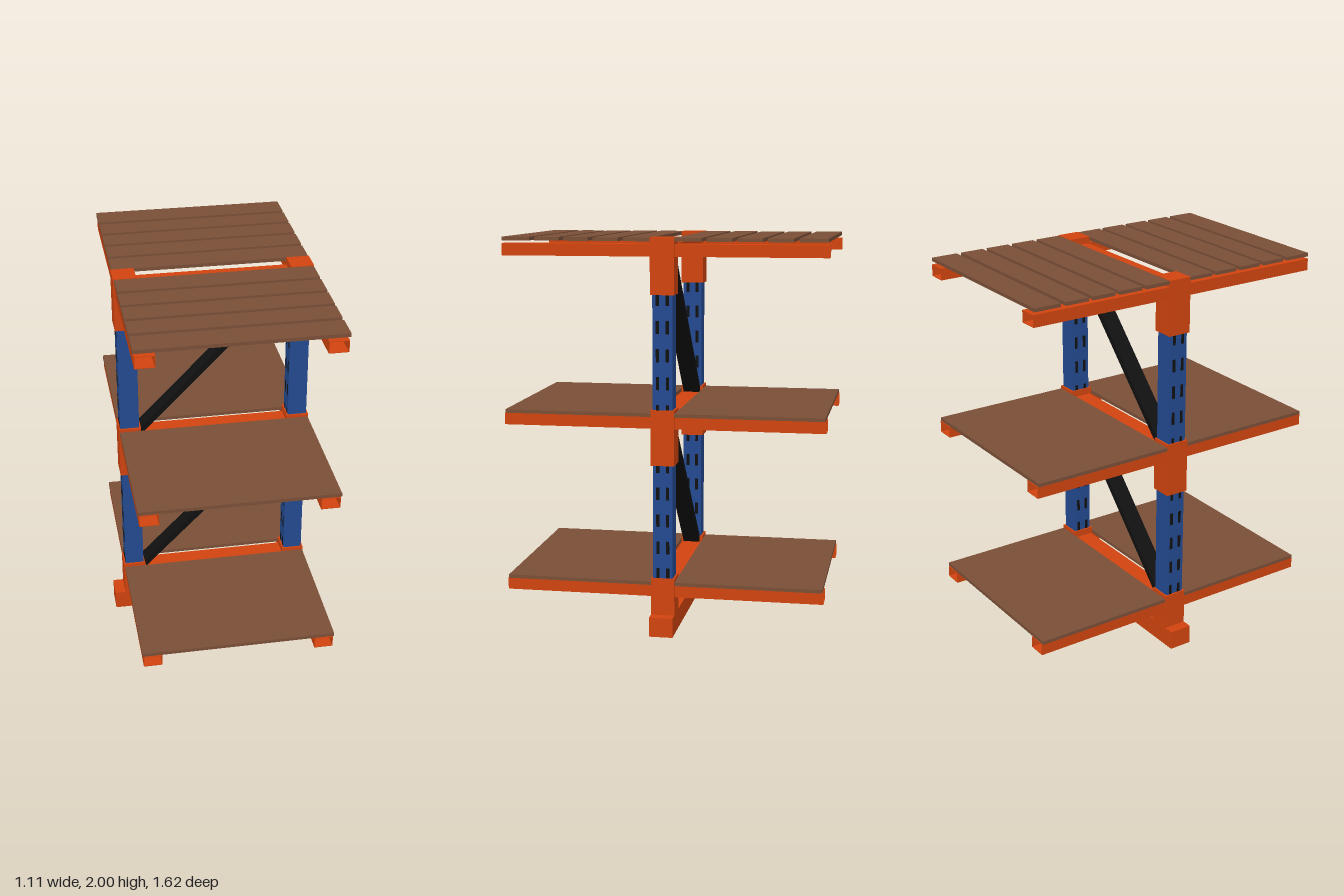
import * as THREE from 'three';

export function createModel() {
  const model = new THREE.Group();
  model.name = 'storageRack';

  const paint = (name, color) => {
    const m = new THREE.MeshStandardMaterial({ color });
    m.name = name;
    return m;
  };
  const orange = paint('orange steel', 0xd0440e);
  const blue = paint('blue steel', 0x234a90);
  const brown = paint('brown board', 0x7a4f37);
  const black = paint('black', 0x101010);

  const add = (name, geometry, material, x, y, z) => {
    const mesh = new THREE.Mesh(geometry, material);
    mesh.name = name;
    mesh.position.set(x, y, z);
    model.add(mesh);
    return mesh;
  };

  // Box given by its minimum and maximum on each axis
  const box = (name, material, x0, x1, y0, y1, z0, z1) =>
    add(name, new THREE.BoxGeometry(x1 - x0, y1 - y0, z1 - z0), material,
      (x0 + x1) / 2, (y0 + y1) / 2, (z0 + z1) / 2);

  // Rectangle with a rectangular opening, extruded along z
  const frame = (w, y0, y1, holeW, h0, h1, depth) => {
    const rect = (path, hw, a, b) =>
      path.moveTo(-hw, a).lineTo(hw, a).lineTo(hw, b).lineTo(-hw, b).closePath();
    const shape = rect(new THREE.Shape(), w / 2, y0, y1);
    shape.holes.push(rect(new THREE.Path(), holeW / 2, h0, h1));
    return new THREE.ExtrudeGeometry(shape, { depth, bevelEnabled: false });
  };

  const postX = 0.443, armW = 0.096, wall = 0.003, armEnd = 0.811;
  const levels = [
    { arm: 0.194, sleeve: [0.1, 0.29] },
    { arm: 1.056, sleeve: [0.87, 1.15] },
    { arm: 1.906, sleeve: [1.72, 2.0] },
  ];
  const armH = 0.06;

  // Foot beam
  box('footBeam', orange, -0.555, 0.555, 0, 0.1, -0.06, 0.06);

  for (const s of [-1, 1]) {
    const x = s * postX;
    // Posts, ending inside the top sleeves
    box('post', blue, x - 0.049, x + 0.049, 0.1, 1.78, -0.05, 0.05);

    // Slots in the side faces of each post
    for (let k = 0; k < 11; k++) {
      const y = 0.31 + k * 0.139;
      for (const face of [-1, 1]) for (const z of [-0.025, 0.025]) {
        add('postSlot', new THREE.BoxGeometry(0.003, 0.065, 0.016), black, x + face * 0.049, y, z);
      }
    }

    // Sleeves with openings for the hollow arms
    for (const { arm, sleeve } of levels) {
      add('sleeve', frame(0.116, sleeve[0], sleeve[1], armW - 2 * wall,
        arm + wall, arm + armH - wall, 0.12), orange, x, 0, -0.06);
      const tube = frame(armW, arm, arm + armH, armW - 2 * wall,
        arm + wall, arm + armH - wall, armEnd - 0.06);
      add('frontArm', tube, orange, x, 0, 0.06);
      add('backArm', tube, orange, x, 0, -armEnd);
    }
  }

  // Cross beams between the posts
  for (const { arm } of levels) {
    box('crossBeam', orange, -0.387, 0.387, arm, arm + armH, -0.05, 0.05);
  }

  // Diagonal braces
  for (const [y0, y1] of [[0.27, 1.06], [1.125, 1.915]]) {
    const dx = 0.77, dy = y1 - y0;
    const brace = add('brace', new THREE.BoxGeometry(Math.hypot(dx, dy), 0.03, 0.09),
      black, 0, (y0 + y1) / 2, 0);
    brace.rotation.z = Math.atan2(dy, dx);
  }

  // Solid decks on the lower levels, spaced slats on top
  const slats = [[0.06, 0.195], [0.219, 0.345], [0.369, 0.493], [0.517, 0.641], [0.667, 0.806]];
  for (const s of [-1, 1]) {
    const board = (name, y, a, b) => box(name, brown, -0.496, 0.498, y, y + 0.018,
      Math.min(s * a, s * b), Math.max(s * a, s * b));
    board('lowerDeck', levels[0].arm + armH, 0.06, 0.806);
    board('middleDeck', levels[1].arm + armH, 0.06, 0.806);
    for (const [a, b] of slats) board('topSlat', 1.98, a, b);
  }

  return model;
}
